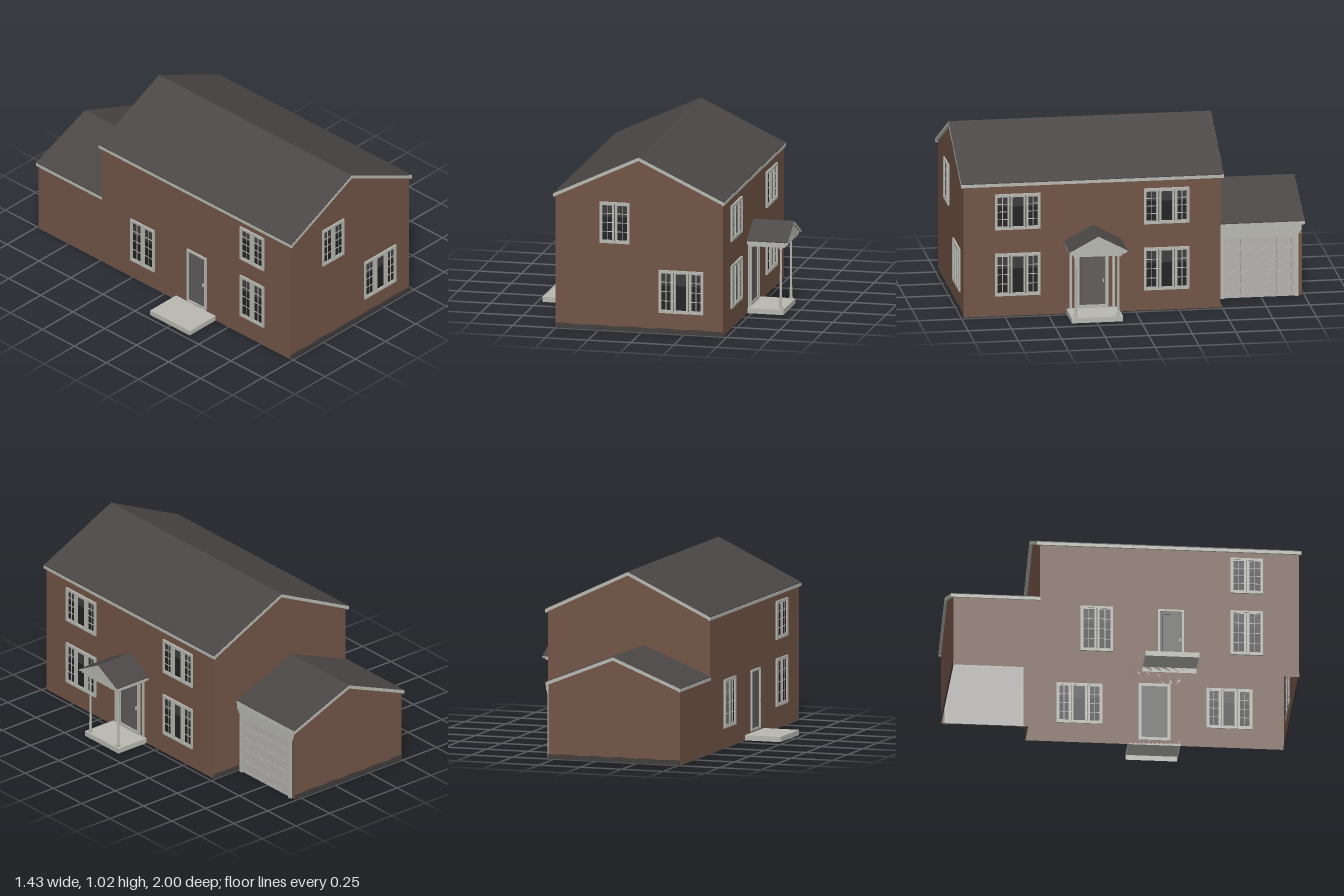
import * as THREE from 'three';

const mat = (name, color, side = THREE.FrontSide) => {
  const m = new THREE.MeshStandardMaterial({ color, side });
  m.name = name;
  return m;
};

export function createModel() {
  const house = new THREE.Group();
  house.name = 'house';
  const brick = mat('brick', 0x715446, THREE.DoubleSide);
  const trim = mat('pale trim', 0xb8b8b1, THREE.DoubleSide);
  const shingle = mat('roof shingle', 0x4a4645, THREE.DoubleSide);
  const glass = mat('dark glass', 0x212121, THREE.DoubleSide);
  const blind = mat('upper glass', 0x3e3c3c, THREE.DoubleSide);
  const doorGrey = mat('door grey', 0x5e5d5b, THREE.DoubleSide);
  const garageGrey = mat('garage door', 0xb4b1ae, THREE.DoubleSide);
  const earth = mat('foundation', 0x403c3a, THREE.DoubleSide);

  const add = (parent, name, geo, material) => {
    const m = new THREE.Mesh(geo, material);
    m.name = name;
    parent.add(m);
    return m;
  };
  // box given by its limits on each axis
  const box = (p, name, x0, x1, y0, y1, z0, z1, material) => {
    const m = add(p, name, new THREE.BoxGeometry(x1 - x0, y1 - y0, z1 - z0), material);
    m.position.set((x0 + x1) / 2, (y0 + y1) / 2, (z0 + z1) / 2);
    return m;
  };
  const shapeOf = (pts) => new THREE.Shape(pts.map(([x, y]) => new THREE.Vector2(x, y)));
  const extrude = (shape, depth) => new THREE.ExtrudeGeometry(shape, { depth, bevelEnabled: false });

  // rectangular border of bars
  const border = (p, name, [u0, u1, y0, y1], w, z0, z1, m) => {
    box(p, name, u0, u0 + w, y0, y1, z0, z1, m);
    box(p, name, u1 - w, u1, y0, y1, z0, z1, m);
    box(p, name, u0 + w, u1 - w, y0, y0 + w, z0, z1, m);
    box(p, name, u0 + w, u1 - w, y1 - w, y1, z0, z1, m);
  };

  // wall face: local x runs along the wall, local z points outward
  const wall = (name, pts, openings, turn, x, z) => {
    const g = new THREE.Group();
    g.name = name;
    g.rotation.y = turn;
    g.position.set(x, 0, z);
    const shape = shapeOf(pts);
    for (const [a, b, c, d] of openings) {
      const e = 0.004;
      shape.holes.push(new THREE.Path([[a + e, c + e], [a + e, d - e], [b - e, d - e], [b - e, c + e]]
        .map(([u, v]) => new THREE.Vector2(u, v))));
    }
    add(g, name + 'Brick', new THREE.ShapeGeometry(shape), brick);
    house.add(g);
    return g;
  };

  // window with two or three sashes; the middle of three is plain
  const windowUnit = (p, r, sashes) => {
    const [u0, u1, y0, y1] = r;
    const g = new THREE.Group();
    g.name = 'window';
    p.add(g);
    const split = y0 + (y1 - y0) * 0.64;
    box(g, 'lowerGlass', u0 + 0.005, u1 - 0.005, y0 + 0.005, split, -0.001, 0.001, glass);
    box(g, 'upperGlass', u0 + 0.005, u1 - 0.005, split, y1 - 0.005, -0.001, 0.001, blind);
    border(g, 'windowFrame', r, 0.012, -0.004, 0.01, trim);
    const cuts = sashes === 3 ? [0, 0.33, 0.68, 1] : [0, 0.5, 1];
    for (let i = 0; i < sashes; i++) {
      const a = u0 + (u1 - u0) * cuts[i], b = u0 + (u1 - u0) * cuts[i + 1];
      const plain = sashes === 3 && i === 1;
      border(g, 'sash', [a + 0.002, b - 0.002, y0 + 0.006, y1 - 0.006], plain ? 0.012 : 0.013, -0.003, plain ? 0.012 : 0.007, trim);
      if (plain) continue;
      const mid = (a + b) / 2;
      box(g, 'muntin', mid - 0.0018, mid + 0.0018, y0, y1, -0.002, 0.004, trim);
      for (let k = 1; k < 4; k++) {
        const y = y0 + 0.015 + (y1 - y0 - 0.03) * k / 4;
        box(g, 'muntin', a, b, y - 0.0018, y + 0.0018, -0.002, 0.004, trim);
      }
    }
  };

  // panelled entry door with surround and handle
  const entryDoor = (p, r, w) => {
    const [u0, u1, y0, y1] = r;
    border(p, 'doorFrame', r, w, -0.004, 0.01, trim);
    box(p, 'door', u0 + w, u1 - w, y0 + w / 2, y1 - w, -0.003, 0.003, doorGrey);
    border(p, 'doorMoulding', [u0 + w + 0.012, u1 - w - 0.012, y0 + w + 0.015, y1 - w - 0.012], 0.004, 0.002, 0.006, doorGrey);
    box(p, 'doorHandle', u1 - w - 0.014, u1 - w - 0.007, y0 + 0.15, y0 + 0.17, 0.003, 0.012, trim);
  };

  // front gable
  const front = [[-0.245, -0.07, 0.51, 0.75], [0.1, 0.36, 0.12, 0.37]];
  const frontWall = wall('frontWall',
    [[-0.505, 0], [0.475, 0], [0.475, 0.78], [-0.015, 1.012], [-0.505, 0.78]], front, 0, 0, 0.985);
  windowUnit(frontWall, front[0], 2);
  windowUnit(frontWall, front[1], 3);

  // entrance side (+x)
  const entry = [];
  for (const [a, b] of [[-0.805, -0.545], [0.05, 0.31]])
    for (const [c, d] of [[0.12, 0.37], [0.51, 0.72]]) entry.push([a, b, c, d]);
  const porchDoor = [-0.34, -0.155, 0.03, 0.385];
  const entryWall = wall('entranceWall', [[-0.985, 0], [0.49, 0], [0.49, 0.775], [-0.985, 0.775]],
    [...entry, porchDoor], Math.PI / 2, 0.475, 0);
  entry.forEach((r) => windowUnit(entryWall, r, 3));
  entryDoor(entryWall, porchDoor, 0.018);

  // patio side (-x), running on along the garage
  const patio = [[-0.26, -0.075, 0.115, 0.395], [0.595, 0.78, 0.125, 0.4], [0.595, 0.78, 0.51, 0.73]];
  const patioDoor = [0.18, 0.33, 0.04, 0.39];
  const patioWall = wall('patioWall',
    [[-0.985, 0], [0.985, 0], [0.985, 0.775], [-0.49, 0.775], [-0.49, 0.43], [-0.985, 0.43]],
    [...patio, patioDoor], -Math.PI / 2, -0.505, 0);
  patio.forEach((r) => windowUnit(patioWall, r, 2));
  entryDoor(patioWall, patioDoor, 0.012);

  // rear walls: main gable open towards the garage, and the garage gable
  wall('rearWall', [[0.29, 0], [0.475, 0], [0.475, 0.78], [-0.015, 1.012], [-0.505, 0.78],
    [-0.505, 0.435], [-0.105, 0.595], [0.29, 0.435]], [], 0, 0, -0.49);
  wall('garageRearWall', [[-0.505, 0], [0.29, 0], [0.29, 0.435], [-0.105, 0.595], [-0.505, 0.435]], [], 0, 0, -0.985);

  // garage door wall
  const gd = [0.53, 0.95, 0, 0.365];
  const garageWall = wall('garageDoorWall', [[0.49, 0], [0.985, 0], [0.985, 0.43], [0.49, 0.43]], [gd], Math.PI / 2, 0.29, 0);
  box(garageWall, 'garageDoor', gd[0], gd[1], 0, 0.365, -0.004, 0.002, garageGrey);
  for (let i = 0; i < 4; i++)
    for (let j = 0; j < 5; j++) {
      const u = 0.545 + i * 0.0985, y = 0.012 + j * 0.07;
      border(garageWall, 'garagePanel', [u, u + 0.092, y, y + 0.062], 0.006, 0.002, 0.005, garageGrey);
    }
  box(garageWall, 'garageDoorPost', 0.515, 0.535, 0, 0.37, -0.004, 0.012, trim);
  box(garageWall, 'garageDoorPost', 0.945, 0.965, 0, 0.37, -0.004, 0.012, trim);
  box(garageWall, 'garageDoorTop', 0.535, 0.945, 0.355, 0.37, -0.004, 0.012, trim);
  box(garageWall, 'garageHeader', 0.505, 0.975, 0.37, 0.39, 0, 0.012, trim);
  box(garageWall, 'garageHeader', 0.495, 0.98, 0.39, 0.425, 0, 0.015, trim);

  // bent band following a gable, extruded along z
  const chevron = (p, name, cx, hw, eave, peak, t, z0, z1, m) => {
    const s = shapeOf([[cx - hw, eave], [cx - hw, eave - t], [cx, peak - t], [cx + hw, eave - t], [cx + hw, eave], [cx, peak]]);
    add(p, name, extrude(s, z1 - z0), m).position.z = z0;
  };
  // roof sheet, end boards and eave gutters
  const roof = (p, name, cx, hw, eave, peak, z0, z1, ends) => {
    chevron(p, name, cx, hw, eave + 0.003, peak + 0.003, 0.006, z0 + 0.001, z1 - 0.001, shingle);
    for (const [a, b] of ends) chevron(p, name + 'EndBoard', cx, hw, eave, peak, 0.02, a, b, trim);
    for (const s of [-1, 1]) {
      const x = cx + s * (hw - 0.004);
      box(p, name + 'Gutter', x - 0.006, x + 0.006, eave - 0.02, eave - 0.002, z0, z1, trim);
    }
  };
  roof(house, 'mainRoof', -0.015, 0.497, 0.786, 1.021, -0.508, 1, [[0.985, 1], [-0.508, -0.49]]);
  roof(house, 'garageRoof', -0.105, 0.405, 0.441, 0.602, -1, -0.49, [[-1, -0.985]]);

  // foundation strips with an uneven top edge
  const strip = (x0, x1, z) => {
    const pts = [[x1, 0], [x0, 0]];
    for (let i = 0; i <= 24; i++)
      pts.push([x0 + (x1 - x0) * i / 24, 0.027 + 0.003 * Math.sin(i * 1.3)]);
    add(house, 'foundation', extrude(shapeOf(pts.reverse()), 0.004), earth).position.z = z;
  };
  strip(-0.505, 0.475, 0.984);
  strip(-0.505, 0.29, -0.988);
  strip(0.29, 0.475, -0.493);

  // hollow slabs, open underneath
  const slab = (name, ...lim) => {
    const geo = box(house, name, ...lim, trim).geometry;
    const idx = Array.from(geo.index.array);
    idx.splice(18, 6);
    geo.clearGroups();
    geo.setIndex(idx);
  };
  slab('patioStep', -0.72, -0.505, 0, 0.03, 0.09, 0.4);
  slab('porchStep', 0.475, 0.685, 0, 0.03, 0.1, 0.395);

  // porch columns
  for (const z of [0.125, 0.37]) {
    const c = add(house, 'porchColumn', new THREE.CylinderGeometry(0.006, 0.0075, 0.36, 16), trim);
    c.position.set(0.665, 0.21, z);
    box(house, 'columnBase', 0.655, 0.675, 0.03, 0.042, z - 0.01, z + 0.01, trim);
    box(house, 'columnCap', 0.655, 0.675, 0.38, 0.392, z - 0.01, z + 0.01, trim);
    box(house, 'pilaster', 0.475, 0.483, 0.03, 0.39, z - 0.007, z + 0.007, trim);
  }
  // porch beam, pediment and roof
  box(house, 'porchBeam', 0.475, 0.69, 0.39, 0.405, 0.105, 0.385, trim);
  box(house, 'porchCornice', 0.475, 0.702, 0.405, 0.423, 0.085, 0.405, trim);
  const porch = new THREE.Group();
  porch.name = 'porchRoof';
  porch.rotation.y = Math.PI / 2;
  house.add(porch);
  add(porch, 'pediment', extrude(shapeOf([[-0.4, 0.42], [-0.09, 0.42], [-0.245, 0.508]]), 0.225), trim).position.z = 0.475;
  chevron(porch, 'porchShingles', -0.245, 0.165, 0.429, 0.517, 0.005, 0.475, 0.714, shingle);
  chevron(porch, 'porchEndBoard', -0.245, 0.165, 0.426, 0.514, 0.012, 0.7, 0.715, trim);

  return house;
}
